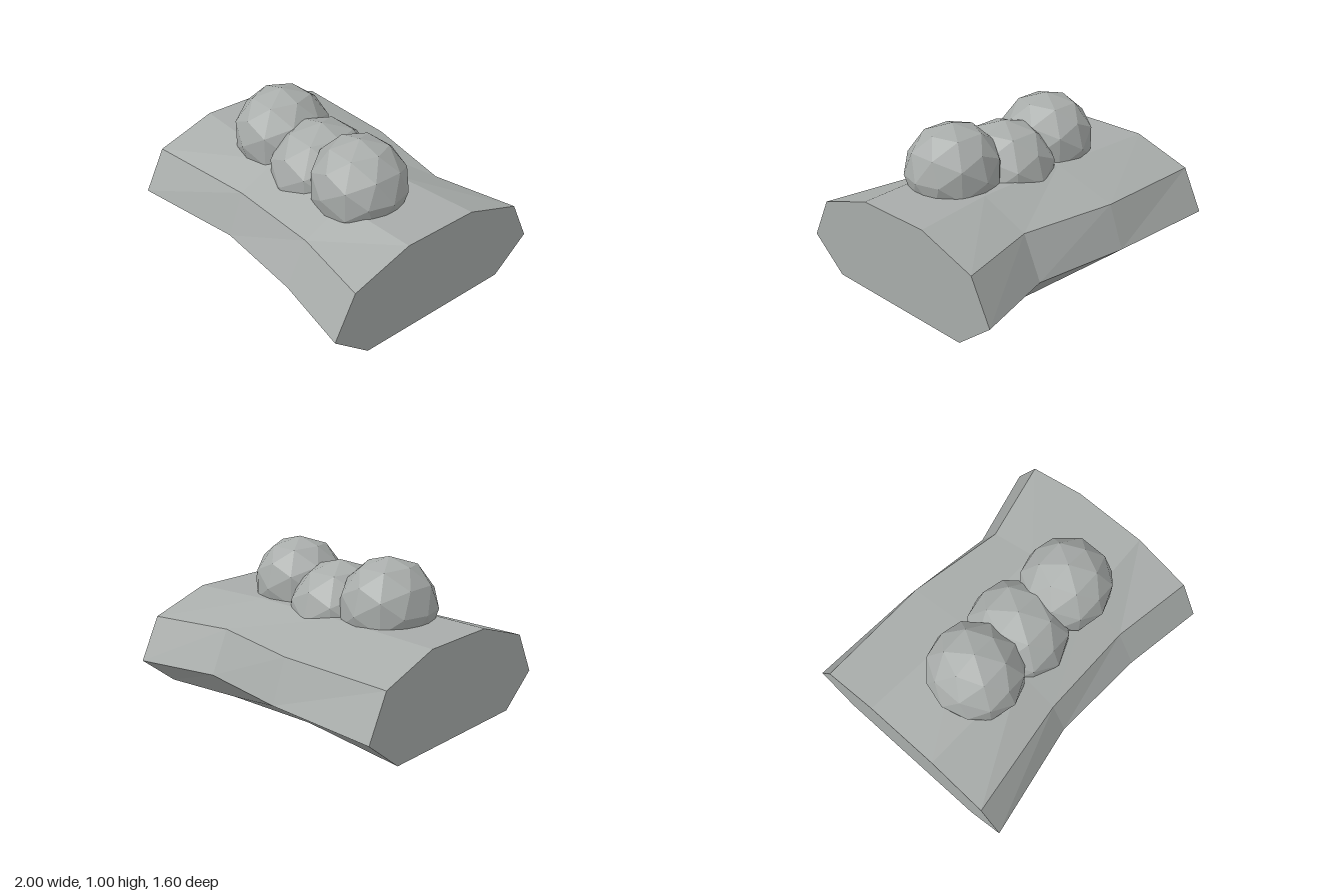
import * as THREE from 'three';

const stone = new THREE.MeshStandardMaterial({ color: 0xa8acaa, flatShading: true });
stone.name = 'grey stone';

// Faceted slab: octagonal cross-sections joined along x
function createSlab() {
  const heights = [0, 0.205, 0.485, 0.62];
  // x, back depths and front depths, each from bottom to top
  const sections = [
    { x: -1, back: [0.55, 0.8, 0.66, 0.26], front: [0.55, 0.8, 0.655, 0.255] },
    { x: -0.21, back: [0.45, 0.755, 0.65, 0.21], front: [0.48, 0.665, 0.555, 0.275] },
    { x: 0.445, back: [0.474, 0.66, 0.53, 0.2], front: [0.49, 0.705, 0.56, 0.275] },
    { x: 1, back: [0.55, 0.8, 0.66, 0.26], front: [0.55, 0.8, 0.655, 0.255] },
  ];
  const rings = sections.map(({ x, back, front }) => [
    ...back.map((z, i) => [x, heights[i], -z]),
    ...front.map((z, i) => [x, heights[i], z]).reverse(),
  ]);
  const positions = [];
  const tri = (...corners) => corners.forEach((p) => positions.push(...p));
  const n = 8;
  for (let s = 0; s < rings.length - 1; s++) {
    for (let k = 0; k < n; k++) {
      const a = rings[s][k], b = rings[s][(k + 1) % n];
      const c = rings[s + 1][(k + 1) % n], d = rings[s + 1][k];
      tri(a, b, d);
      tri(b, c, d);
    }
  }
  // End caps
  const left = rings[rings.length - 1], right = rings[0];
  for (let k = 1; k < n - 1; k++) {
    tri(left[0], left[k], left[k + 1]);
    tri(right[0], right[k + 1], right[k]);
  }
  const geometry = new THREE.BufferGeometry();
  geometry.setAttribute('position', new THREE.Float32BufferAttribute(positions, 3));
  geometry.computeVertexNormals();
  return geometry;
}

export function createModel() {
  const model = new THREE.Group();
  model.name = 'boulders on slab';

  const slab = new THREE.Mesh(createSlab(), stone);
  slab.name = 'slab';
  model.add(slab);

  // Three low-poly boulders sunk into the slab
  const boulders = [
    { name: 'rightBoulder', at: [-0.4, 0.68, 0.073], size: [0.312, 0.32, 0.327] },
    { name: 'middleBoulder', at: [0, 0.57, 0.068], size: [0.335, 0.345, 0.347] },
    { name: 'leftBoulder', at: [0.41, 0.69, 0.113], size: [0.315, 0.31, 0.306] },
  ];
  for (const { name, at, size } of boulders) {
    const geometry = new THREE.IcosahedronGeometry(1, 1).scale(...size);
    const boulder = new THREE.Mesh(geometry, stone);
    boulder.name = name;
    boulder.position.set(...at);
    model.add(boulder);
  }
  return model;
}
